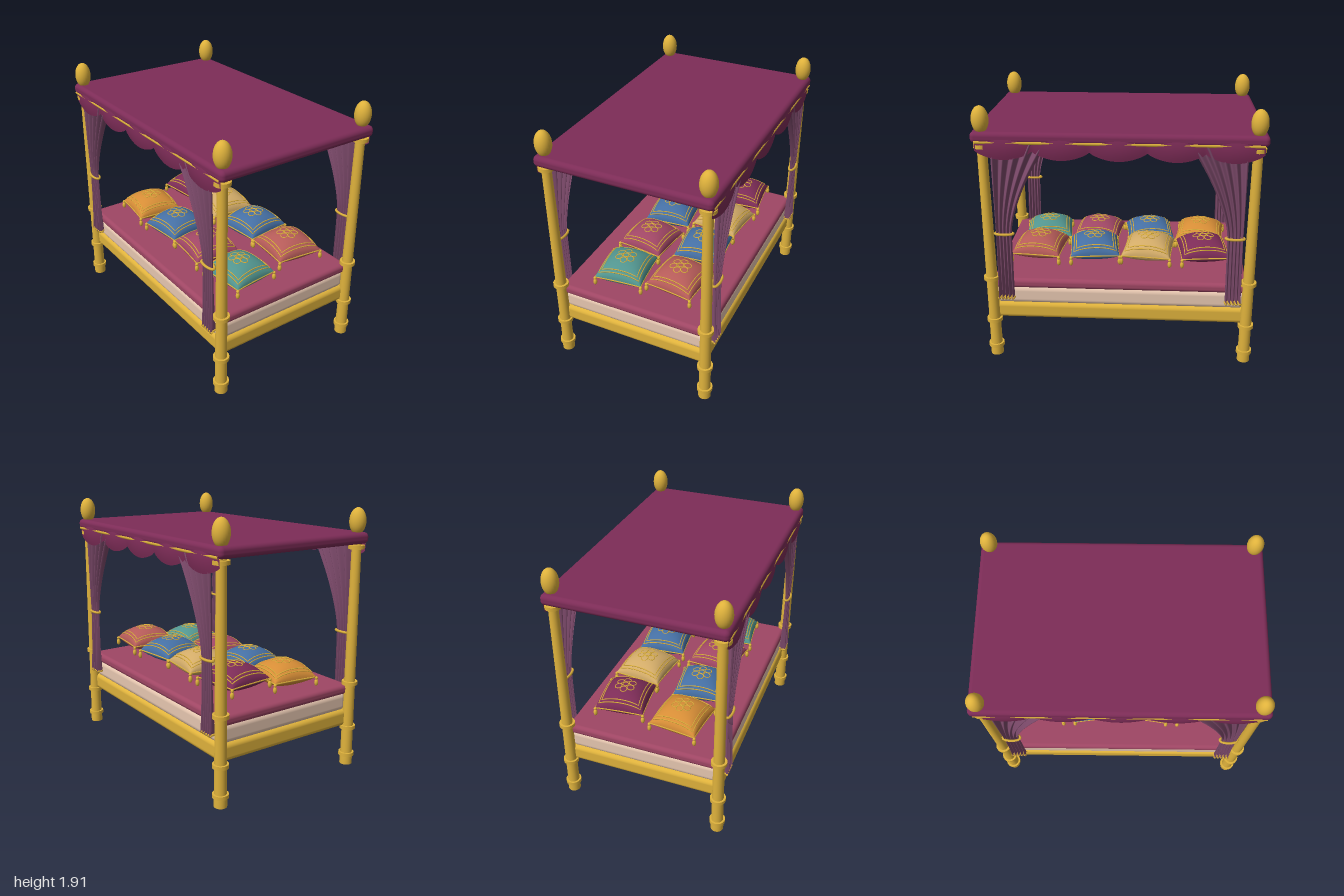
import * as THREE from 'three';
import { RoundedBoxGeometry } from 'three/addons/geometries/RoundedBoxGeometry.js';

const mat = (name, color, side = THREE.FrontSide) => {
  const m = new THREE.MeshStandardMaterial({ color, side });
  m.name = name;
  return m;
};
const M = {
  gold: mat('gold', 0xdfb23c),
  plum: mat('plum', 0x7d2c57, THREE.DoubleSide),
  curtain: mat('dusty purple', 0x7d4a6b, THREE.DoubleSide),
  rose: mat('rose', 0x9f4664),
  linen: mat('linen', 0xe8c8b1),
  orange: mat('orange', 0xd68d36),
  blue: mat('blue', 0x456fa3),
  teal: mat('teal', 0x52958f),
  coral: mat('coral', 0xb55b58),
  tan: mat('tan', 0xd2ab68),
};

const V = (x, y, z) => new THREE.Vector3(x, y, z);

function add(parent, name, geometry, material, x = 0, y = 0, z = 0) {
  const mesh = new THREE.Mesh(geometry, material);
  mesh.name = name;
  mesh.position.set(x, y, z);
  parent.add(mesh);
  return mesh;
}

// Sheet whose points come from a rule f(u, v), u and v in 0..1
function sheet(nu, nv, f) {
  const g = new THREE.PlaneGeometry(1, 1, nu, nv);
  const p = g.attributes.position;
  for (let i = 0; i < p.count; i++) {
    const q = f(p.getX(i) + 0.5, 0.5 - p.getY(i));
    p.setXYZ(i, q.x, q.y, q.z);
  }
  g.computeVertexNormals();
  return g;
}

// Round cord following a rule f(t), t in 0..1
function cord(f, n, r, closed) {
  const pts = Array.from({ length: closed ? n : n + 1 }, (_, i) => f(i / n));
  return new THREE.TubeGeometry(new THREE.CatmullRomCurve3(pts, closed), n, r, 5, closed);
}

// Turned bedpost with collars and an egg finial
function bedpost() {
  const g = new THREE.Group();
  g.name = 'bedpost';
  const profile = [[0, 0], [0.046, 0], [0.046, 0.001], [0.046, 0.07], [0.043, 0.09], [0.042, 0.3], [0.04, 0.64], [0.034, 1.64], [0.034, 1.75], [0, 1.75]];
  add(g, 'postShaft', new THREE.LatheGeometry(profile.map(([x, y]) => new THREE.Vector2(x, y)), 24), M.gold);
  for (const y of [0.08, 0.295, 0.64, 1.64])
    add(g, 'postCollar', new THREE.CylinderGeometry(0.057, 0.057, 0.027, 24), M.gold, 0, y, 0);
  add(g, 'finial', new THREE.SphereGeometry(1, 24, 16), M.gold, 0, 1.82, 0).scale.set(0.059, 0.095, 0.059);
  return g;
}

// Gathered curtain for the +x, +z corner
function curtain() {
  const g = new THREE.Group();
  g.name = 'curtain';
  const fold = (u, y) => {
    const up = Math.max(0, (y - 1) / 0.65);
    const low = Math.max(0, (1 - y) / 0.51);
    const inner = 0.758 - 0.27 * up ** 1.55 + 0.008 * low;
    const outer = 0.868 + 0.01 * low;
    const amp = 0.012 + 0.016 * Math.min(1, up + low * low);
    return V(outer + (inner - outer) * u, y, 0.608 + amp * Math.sin(u * Math.PI * 9 + 0.5));
  };
  add(g, 'curtainCloth', sheet(72, 28, (u, v) => fold(u, 1.68 - 1.19 * v)), M.curtain);
  add(g, 'curtainHem', cord((t) => fold(t, 0.49), 54, 0.008, false), M.gold);
  add(g, 'curtainTie', cord((t) => {
    const a = t * Math.PI * 2;
    return V(0.812 + 0.066 * Math.cos(a), 1.0, 0.608 + 0.024 * Math.sin(a));
  }, 32, 0.01, true), M.gold);
  return g;
}

// Scalloped valance with a straight cord showing between the swags
function valance() {
  const g = new THREE.Group();
  g.name = 'valance';
  add(g, 'valanceCloth', sheet(100, 10, (u, v) => {
    const s = Math.abs(Math.sin(u * 5 * Math.PI));
    const bottom = 1.612 - 0.058 * s ** 0.75;
    const drop = Math.sin(Math.PI * (0.2 + 0.6 * v));
    return V((u - 0.5) * 1.945, 1.725 + (bottom - 1.725) * v, 0.616 + (0.012 + 0.018 * s) * drop);
  }), M.plum);
  add(g, 'valanceCord', cord((t) => V((t - 0.5) * 1.94, 1.675, 0.632), 20, 0.0115, false), M.gold);
  return g;
}

// Point on a pillow; side is 1 for the top, -1 for the underside
const HALF = 0.18;
function pillowPoint(u, v, side) {
  const swell = Math.max(0, (1 - u * u) * (1 - v * v)) ** 0.46;
  const h = side > 0 ? 0.118 : -0.066;
  return V(HALF * u * (1 - 0.03 * (1 - v * v)), h * swell, HALF * v * (1 - 0.03 * (1 - u * u)));
}

// Walk round a square of half size k
function squareUV(t, k) {
  const s = (t * 4) % 4;
  const e = Math.floor(s);
  const d = (s - e) * 2 - 1;
  return [[d, -1], [1, d], [-d, 1], [-1, -d]][e].map((c) => c * k);
}

function pillow(material) {
  const g = new THREE.Group();
  g.name = 'pillow';
  const ease = (t) => Math.sin((t - 0.5) * Math.PI);
  add(g, 'pillowTop', sheet(22, 22, (u, v) => pillowPoint(ease(u), ease(v), 1)), material);
  add(g, 'pillowUnderside', sheet(22, 22, (u, v) => pillowPoint(-ease(u), ease(v), -1)), material);
  // piping at the seam and two embroidered borders
  for (const [k, r] of [[1, 0.005], [0.88, 0.004], [0.78, 0.004]])
    add(g, 'pillowPiping', cord((t) => pillowPoint(...squareUV(t, k), 1), 48, r, true), M.gold);
  // embroidered flower
  const ring = (cu, cv, r) => add(g, 'flowerRing', cord((t) => {
    const a = t * Math.PI * 2;
    return pillowPoint(cu + r * Math.cos(a), cv + r * Math.sin(a), 1);
  }, 14, 0.0035, true), M.gold);
  ring(0, 0, 0.12);
  for (let i = 0; i < 6; i++) ring(0.3 * Math.cos(i * Math.PI / 3), 0.3 * Math.sin(i * Math.PI / 3), 0.145);
  // corner tassels
  for (const sx of [-1, 1]) for (const sz of [-1, 1]) {
    add(g, 'tasselKnot', new THREE.SphereGeometry(0.012, 10, 8), M.gold, sx * HALF, -0.008, sz * HALF);
    add(g, 'tasselSkirt', new THREE.SphereGeometry(1, 10, 8), M.gold, sx * HALF, -0.042, sz * HALF).scale.set(0.015, 0.027, 0.015);
  }
  return g;
}

export function createModel() {
  const bed = new THREE.Group();
  bed.name = 'canopyBed';

  // Base and bedding, reaching to the post centres
  add(bed, 'bedFrame', new RoundedBoxGeometry(1.86, 0.13, 1.17, 5, 0.035), M.gold, 0, 0.367, 0);
  add(bed, 'mattress', new RoundedBoxGeometry(1.83, 0.15, 1.15, 5, 0.045), M.linen, 0, 0.49, 0);
  add(bed, 'blanket', new RoundedBoxGeometry(1.86, 0.075, 1.17, 4, 0.03), M.rose, 0, 0.588, 0);

  // Canopy roof
  add(bed, 'canopy', new RoundedBoxGeometry(2, 0.08, 1.28, 4, 0.032), M.plum, 0, 1.705, 0);

  // Posts and curtains at each corner, mirrored
  for (const sx of [-1, 1]) for (const sz of [-1, 1]) {
    const post = bedpost();
    post.position.set(sx * 0.93, 0, sz * 0.583);
    bed.add(post);
    const drape = curtain();
    drape.scale.set(sx, 1, sz);
    bed.add(drape);
  }
  for (const turn of [0, Math.PI]) {
    const v = valance();
    v.rotation.y = turn;
    bed.add(v);
  }

  // Two rows of pillows
  const rows = [
    { y: 0.692, z: 0.2, colors: [M.orange, M.blue, M.rose, M.teal] },
    { y: 0.748, z: -0.247, colors: [M.plum, M.tan, M.blue, M.coral] },
  ];
  rows.forEach(({ y, z, colors }, r) => colors.forEach((m, i) => {
    const p = pillow(m);
    p.position.set((i - 1.5) * 0.41, y, z);
    p.rotation.y = (i + r) % 2 ? 0.11 : -0.11;
    bed.add(p);
  }));
  return bed;
}
